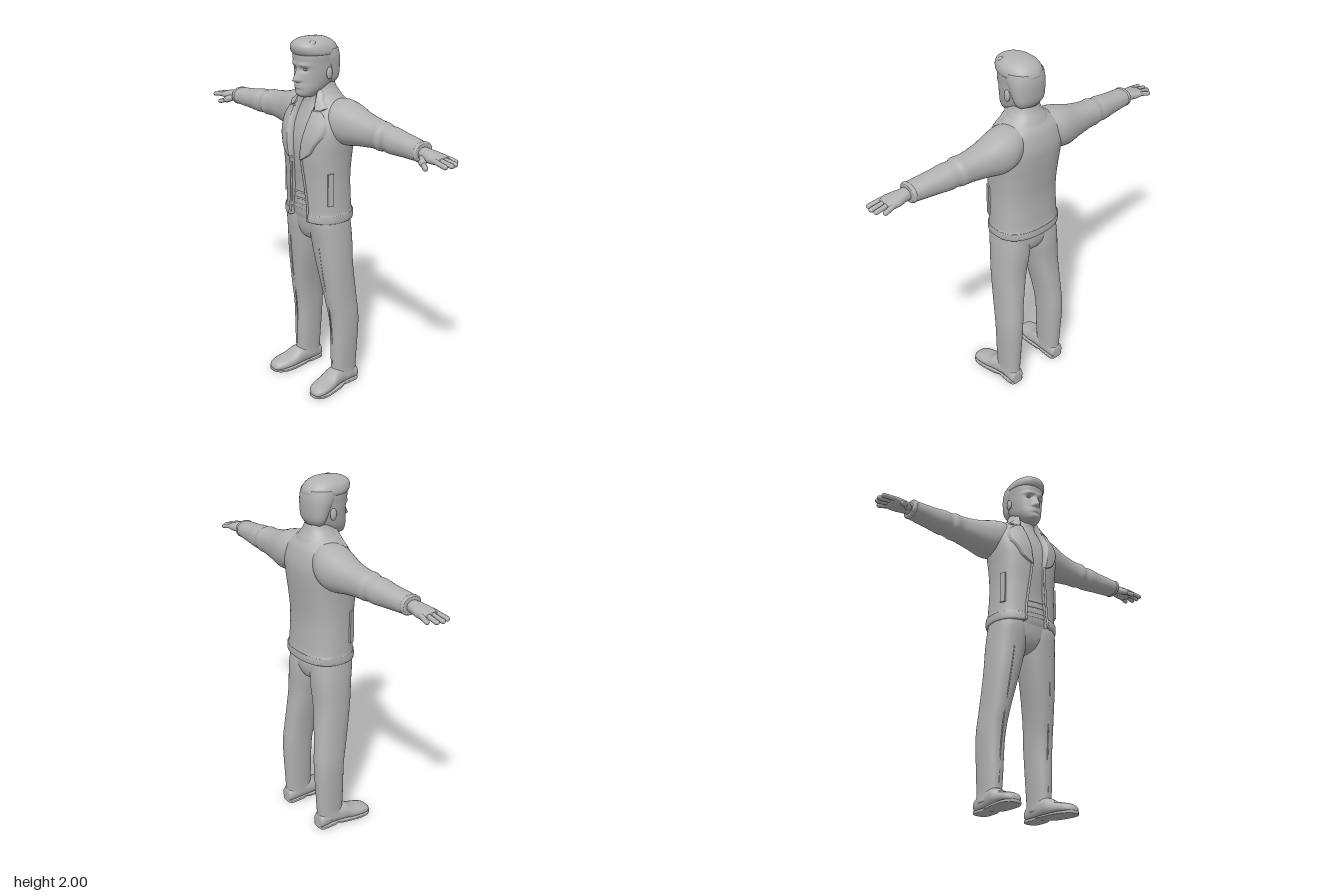
import * as THREE from 'three';

const grey = new THREE.MeshStandardMaterial({ color: 0xb2b2b2, side: THREE.DoubleSide });
grey.name = 'plain grey';

const spow = (v, p) => Math.sign(v) * Math.abs(v) ** p;
const bell = (v, w) => Math.exp(-((v / w) ** 2));

// Catmull-Rom blend of two neighbouring cross-sections
function blend(secs, i, u) {
  const at = k => secs[Math.max(0, Math.min(secs.length - 1, k))];
  const [p, q, r, s] = [at(i - 1), at(i), at(i + 1), at(i + 2)];
  return q.map((_, c) => q[c] + 0.5 * u * (r[c] - p[c] + u * (2 * p[c] - 5 * q[c] + 4 * r[c] - s[c]
    + u * (3 * (q[c] - r[c]) + s[c] - p[c]))));
}

// Skin over superellipse sections [t, aMin, aMax, bMin, bMax, power, frontGap]
// axis y: a = x, b = z; axis x: a = z, b = y; axis z: a = y, b = x
function loft(secs, axis = 'y', { segs = 36, sub = 4, mid = 0.5 } = {}) {
  const put = { y: (t, a, b) => [a, t, b], x: (t, a, b) => [t, b, a], z: (t, a, b) => [b, a, t] }[axis];
  const open = secs[0].length > 6;
  const rows = [];
  for (let i = 0; i < secs.length - 1; i++) for (let k = 0; k < sub; k++) rows.push(blend(secs, i, k / sub));
  rows.push(secs[secs.length - 1]);
  const pos = [], idx = [], n = open ? segs + 3 : segs;
  for (const [t, a0, a1, b0, b1, p = 2.2, gap = 0] of rows) {
    const ac = (a0 + a1) / 2, ar = (a1 - a0) / 2, bc = b0 + (b1 - b0) * mid;
    const d = open ? Math.asin(Math.min(1, gap / ar) ** (p / 2)) : 0;
    for (let j = 0; j < n; j++) {
      const k = open ? Math.max(0, Math.min(segs, j - 1)) : j;
      const th = open ? Math.PI / 2 + d + (k / segs) * 2 * (Math.PI - d) : (k / segs) * 2 * Math.PI;
      const s = Math.sin(th);
      const inset = open && (j === 0 || j === n - 1) ? 0.035 : 0; // turned-in front edge
      pos.push(...put(t, ac + ar * spow(Math.cos(th), 2 / p),
        bc + (s > 0 ? b1 - bc : bc - b0) * spow(s, 2 / p) - inset));
    }
  }
  for (let r = 0; r < rows.length - 1; r++) for (let j = 0; j < (open ? n - 1 : n); j++) {
    const a = r * n + j, b = r * n + (j + 1) % n;
    idx.push(a, a + n, b, b, a + n, b + n);
  }
  if (!open) for (const r of [0, rows.length - 1]) { // end caps
    const [t, a0, a1, b0, b1] = rows[r], c = pos.length / 3;
    pos.push(...put(t, (a0 + a1) / 2, (b0 + b1) / 2));
    for (let j = 0; j < n; j++) {
      const a = r * n + j, b = r * n + (j + 1) % n;
      idx.push(c, ...(r ? [b, a] : [a, b]));
    }
  }
  const g = new THREE.BufferGeometry();
  g.setAttribute('position', new THREE.Float32BufferAttribute(pos, 3));
  g.setIndex(idx);
  g.computeVertexNormals();
  return g;
}

// Sections symmetric about x = 0: [y, halfWidth, zBack, zFront, ...rest]
const sym = list => list.map(([y, w, z0, z1, ...rest]) => [y, -w, w, z0, z1, ...rest]);

// Front z of a set of upright sections at a given x and y
function frontZ(secs, x, y) {
  let i = 1;
  while (i < secs.length - 1 && secs[i + 1][0] < y) i++;
  const u = (y - secs[i][0]) / (secs[i + 1][0] - secs[i][0]);
  const [, a0, a1, b0, b1, p] = blend(secs, i, u);
  const r = Math.min(1, Math.abs(x - (a0 + a1) / 2) / ((a1 - a0) / 2));
  return (b0 + b1) / 2 + (b1 - b0) / 2 * (1 - r ** p) ** (1 / p);
}

function mirrored(geo) {
  const g = geo.clone().scale(-1, 1, 1), ix = g.index.array;
  for (let i = 0; i < ix.length; i += 3) [ix[i], ix[i + 1]] = [ix[i + 1], ix[i]];
  g.computeVertexNormals();
  return g;
}

const V = (x, y, z) => new THREE.Vector3(x, y, z);
const tube = (pts, r) => new THREE.TubeGeometry(new THREE.CatmullRomCurve3(pts), 40, r, 6);
const ball = (x, y, z, rx, ry, rz) => new THREE.SphereGeometry(1, 20, 14).scale(rx, ry, rz).translate(x, y, z);
function capsule(p, q, r) {
  const d = q.clone().sub(p), g = new THREE.CapsuleGeometry(r, d.length(), 6, 12);
  g.applyQuaternion(new THREE.Quaternion().setFromUnitVectors(V(0, 1, 0), d.normalize()));
  return g.translate(...p.clone().add(q).multiplyScalar(0.5).toArray());
}

export function createModel() {
  const model = new THREE.Group();
  const add = (name, geo) => {
    const m = new THREE.Mesh(geo, grey);
    m.name = name;
    model.add(m);
  };
  const pair = (name, geo) => { add('left' + name, geo); add('right' + name, mirrored(geo)); };

  // Head, with the face modelled by a rule
  const head = loft(sym([[1.695, 0.03, 0.02, 0.1], [1.708, 0.05, 0, 0.116], [1.74, 0.072, -0.05, 0.122],
    [1.78, 0.085, -0.09, 0.121], [1.83, 0.094, -0.108, 0.121], [1.87, 0.097, -0.112, 0.124],
    [1.92, 0.1, -0.11, 0.125], [1.96, 0.08, -0.08, 0.1], [1.98, 0.03, -0.02, 0.04]]), 'y', { segs: 90, sub: 8 });
  const hp = head.attributes.position;
  for (let i = 0; i < hp.count; i++) {
    const x = Math.abs(hp.getX(i)), y = hp.getY(i), z = hp.getZ(i);
    if (z < 0.05) continue;
    const nose = y > 1.785 ? Math.max(0, 1 - (y - 1.785) / 0.075) : bell(y - 1.785, 0.008);
    hp.setZ(i, z + 0.036 * nose * bell(x, 0.011 + 0.008 * nose)
      - 0.013 * bell(x - 0.038, 0.02) * bell(y - 1.842, 0.014)
      + 0.009 * bell(x - 0.035, 0.034) * bell(y - 1.866, 0.01)
      + 0.008 * bell(x, 0.026) * (bell(y - 1.761, 0.006) + bell(y - 1.748, 0.006))
      + 0.006 * bell(x, 0.025) * bell(y - 1.717, 0.014));
  }
  head.computeVertexNormals();
  add('head', head);
  pair('Eye', ball(0.037, 1.842, 0.098, 0.014, 0.007, 0.012));
  pair('Ear', ball(0.098, 1.82, -0.008, 0.011, 0.032, 0.019).rotateX(0));

  // Hair: close cut behind, swept volume on top
  add('backHair', loft(sym([[1.755, 0.06, -0.085, -0.03], [1.79, 0.088, -0.109, -0.015],
    [1.85, 0.1, -0.117, 0.015], [1.9, 0.105, -0.118, 0.05], [1.94, 0.1, -0.11, 0.06]])));
  add('topHair', loft(sym([[1.905, 0.09, -0.1, 0.11], [1.922, 0.104, -0.116, 0.133], [1.95, 0.101, -0.107, 0.143],
    [1.974, 0.086, -0.084, 0.134], [1.992, 0.056, -0.05, 0.1], [2.0, 0.015, -0.005, 0.045]])));
  for (let i = 0; i < 5; i++) {
    const x = -0.06 + i * 0.03;
    add('hairLock', capsule(V(x, 1.942 + 0.004 * (i % 2), 0.118 - 6 * x * x), V(x * 0.8 + 0.012, 1.972, 0.075), 0.019));
  }

  // Neck and high-necked shirt
  add('neck', loft(sym([[1.6, 0.065, -0.09, 0.045], [1.7, 0.062, -0.088, 0.045], [1.79, 0.06, -0.088, 0.04]])));
  add('shirt', loft(sym([[1.0, 0.165, -0.12, 0.085], [1.06, 0.172, -0.13, 0.104], [1.2, 0.165, -0.13, 0.102],
    [1.4, 0.175, -0.14, 0.122], [1.52, 0.17, -0.14, 0.11], [1.62, 0.11, -0.12, 0.075],
    [1.67, 0.075, -0.098, 0.06], [1.715, 0.071, -0.094, 0.058], [1.722, 0.066, -0.09, 0.053], [1.715, 0.055, -0.08, 0.04]])));
  for (const y of [1.075, 1.1, 1.135, 1.17]) // waist folds
    add('shirtFold', tube([-0.09, -0.04, 0, 0.04, 0.09].map(x => V(x, y + 0.1 * x, 0.1 - 1.2 * x * x)), 0.006));

  // Open jacket body
  const jacket = sym([[1.03, 0.18, -0.145, 0.11, 2.4, 0.075], [1.028, 0.2, -0.172, 0.132, 2.4, 0.075],
    [1.07, 0.202, -0.174, 0.131, 2.4, 0.073], [1.085, 0.195, -0.164, 0.125, 2.4, 0.072],
    [1.25, 0.19, -0.156, 0.13, 2.4, 0.055], [1.38, 0.195, -0.167, 0.141, 2.4, 0.042],
    [1.48, 0.205, -0.178, 0.14, 2.4, 0.052], [1.56, 0.208, -0.181, 0.118, 2.4, 0.062],
    [1.64, 0.188, -0.163, 0.081, 2.3, 0.068], [1.69, 0.125, -0.132, 0.062, 2.2, 0.066],
    [1.72, 0.089, -0.114, 0.056, 2.2, 0.062], [1.76, 0.072, -0.1, 0.048, 2.2, 0.056]]);
  add('jacketBody', loft(jacket, 'y', { segs: 64, sub: 6 }));
  pair('JacketEdge', tube([1.03, 1.1, 1.2, 1.3, 1.38].map((y, i) => {
    const x = [0.075, 0.071, 0.061, 0.05, 0.043][i];
    return V(x, y, frontZ(jacket, x, y));
  }), 0.007));

  // Folded lapels and collar flaps: rows of [y, innerX, outerX] laid on the jacket
  const flap = rows => {
    const cols = 12, steps = 24;
    const g = new THREE.PlaneGeometry(1, 1, cols, steps), p = g.attributes.position;
    for (let i = 0; i < p.count; i++) {
      const u = p.getX(i) + 0.5, v = (p.getY(i) + 0.5) * (rows.length - 1);
      const k = Math.min(rows.length - 2, Math.floor(v));
      const [y, a, b] = blend(rows, k, v - k), x = a + (b - a) * u;
      const rim = u < 0.01 || u > 0.99 ? -0.012 : 0.013;
      p.setXYZ(i, x, y, frontZ(jacket, x, y) + rim);
    }
    g.computeVertexNormals();
    return g;
  };
  pair('Lapel', flap([[1.375, 0.04, 0.05], [1.41, 0.043, 0.105], [1.46, 0.047, 0.135], [1.52, 0.054, 0.172],
    [1.57, 0.06, 0.172], [1.615, 0.066, 0.14], [1.635, 0.068, 0.11]]));
  pair('CollarFlap', flap([[1.638, 0.085, 0.125], [1.655, 0.072, 0.142], [1.685, 0.066, 0.108], [1.735, 0.06, 0.074]]));
  add('collar', loft(sym([[1.675, 0.125, -0.142, 0.05, 2.2, 0.085], [1.7, 0.108, -0.13, 0.055, 2.2, 0.075],
    [1.735, 0.083, -0.111, 0.055, 2.2, 0.065], [1.765, 0.071, -0.1, 0.045, 2.2, 0.058]])));
  pair('Pocket', new THREE.BoxGeometry(0.012, 0.18, 0.032).rotateY(-0.35).translate(0.181, 1.22, 0.052));

  // Sleeves
  pair('Sleeve', loft([[0.06, -0.13, 0.02, 1.53, 1.68], [0.15, -0.166, 0.055, 1.475, 1.688],
    [0.22, -0.166, 0.047, 1.457, 1.677], [0.31, -0.147, 0.027, 1.472, 1.648], [0.41, -0.131, 0.013, 1.484, 1.631],
    [0.46, -0.128, 0.02, 1.483, 1.628], [0.49, -0.12, 0.012, 1.49, 1.619], [0.53, -0.119, 0.019, 1.486, 1.618],
    [0.6, -0.108, 0.016, 1.491, 1.608], [0.68, -0.099, 0.02, 1.496, 1.599], [0.735, -0.092, 0.021, 1.5, 1.592],
    [0.745, -0.086, 0.015, 1.505, 1.587], [0.735, -0.07, 0, 1.52, 1.572]], 'x'));
  pair('Cuff', loft([[0.72, -0.08, 0.01, 1.51, 1.58], [0.728, -0.095, 0.024, 1.498, 1.595],
    [0.742, -0.094, 0.023, 1.499, 1.594], [0.746, -0.08, 0.01, 1.51, 1.58]], 'x'));

  // Hands
  pair('Palm', loft([[0.71, -0.07, 0.003, 1.515, 1.575], [0.76, -0.069, 0.006, 1.514, 1.572],
    [0.81, -0.082, 0.02, 1.512, 1.566], [0.85, -0.084, 0.022, 1.515, 1.558], [0.872, -0.075, 0.015, 1.522, 1.55]], 'x'));
  [[-0.071, 0.9, -0.083], [-0.044, 0.928, -0.05], [-0.017, 0.934, -0.018], [0.01, 0.925, 0.016]].forEach(([z, tip, z2]) =>
    pair('Finger', capsule(V(0.835, 1.542, z), V(tip, 1.529, z2), 0.0125)));
  pair('ThumbBase', capsule(V(0.765, 1.535, -0.01), V(0.795, 1.52, 0.025), 0.019));
  pair('Thumb', capsule(V(0.795, 1.518, 0.025), V(0.832, 1.506, 0.045), 0.013));

  // Trousers
  add('hips', loft(sym([[0.88, 0.03, -0.06, 0.02], [0.905, 0.1, -0.115, 0.065], [0.96, 0.165, -0.134, 0.088],
    [1.02, 0.188, -0.132, 0.096], [1.07, 0.188, -0.128, 0.1]])));
  const leg = [[0.06, 0.125, 0.2, -0.13, -0.01, 2.3], [0.05, 0.112, 0.213, -0.15, 0.012, 2.3],
    [0.1, 0.112, 0.21, -0.153, 0.008, 2.3], [0.2, 0.106, 0.214, -0.158, 0.011, 2.3],
    [0.4, 0.094, 0.221, -0.166, 0.015, 2.3], [0.55, 0.077, 0.215, -0.155, 0.04, 2.3],
    [0.75, 0.034, 0.21, -0.137, 0.07, 2.3], [0.9, 0.002, 0.204, -0.139, 0.086, 2.3],
    [1.0, 0.0, 0.197, -0.131, 0.096, 2.3], [1.06, 0.01, 0.19, -0.12, 0.09, 2.3]];
  pair('Leg', loft(leg, 'y', { segs: 40, sub: 5 }));
  pair('LegCrease', tube([0.14, 0.3, 0.5, 0.7, 0.88].map((y, i) => {
    const x = [0.16, 0.155, 0.148, 0.135, 0.122][i];
    return V(x, y, frontZ(leg, x, y) - 0.001);
  }), 0.003));

  // Shoes
  pair('Shoe', loft([[-0.157, 0.015, 0.055, 0.135, 0.19], [-0.145, 0.006, 0.09, 0.12, 0.206],
    [-0.06, 0.006, 0.115, 0.113, 0.21], [0.01, 0.006, 0.112, 0.111, 0.222], [0.06, 0.005, 0.084, 0.113, 0.233],
    [0.12, 0.005, 0.068, 0.122, 0.238], [0.16, 0.006, 0.055, 0.138, 0.23], [0.18, 0.014, 0.035, 0.162, 0.208]], 'z'));
  pair('Sole', loft([[-0.157, 0, 0.02, 0.135, 0.19, 5], [-0.14, 0, 0.02, 0.116, 0.208, 5], [-0.06, 0, 0.02, 0.116, 0.209, 5],
    [-0.045, 0.008, 0.02, 0.115, 0.21, 5], [0.0, 0.003, 0.019, 0.11, 0.225, 5], [0.1, 0, 0.018, 0.112, 0.242, 5],
    [0.155, 0, 0.018, 0.132, 0.236, 5], [0.182, 0.003, 0.018, 0.162, 0.21, 5]], 'z'));

  return model;
}
